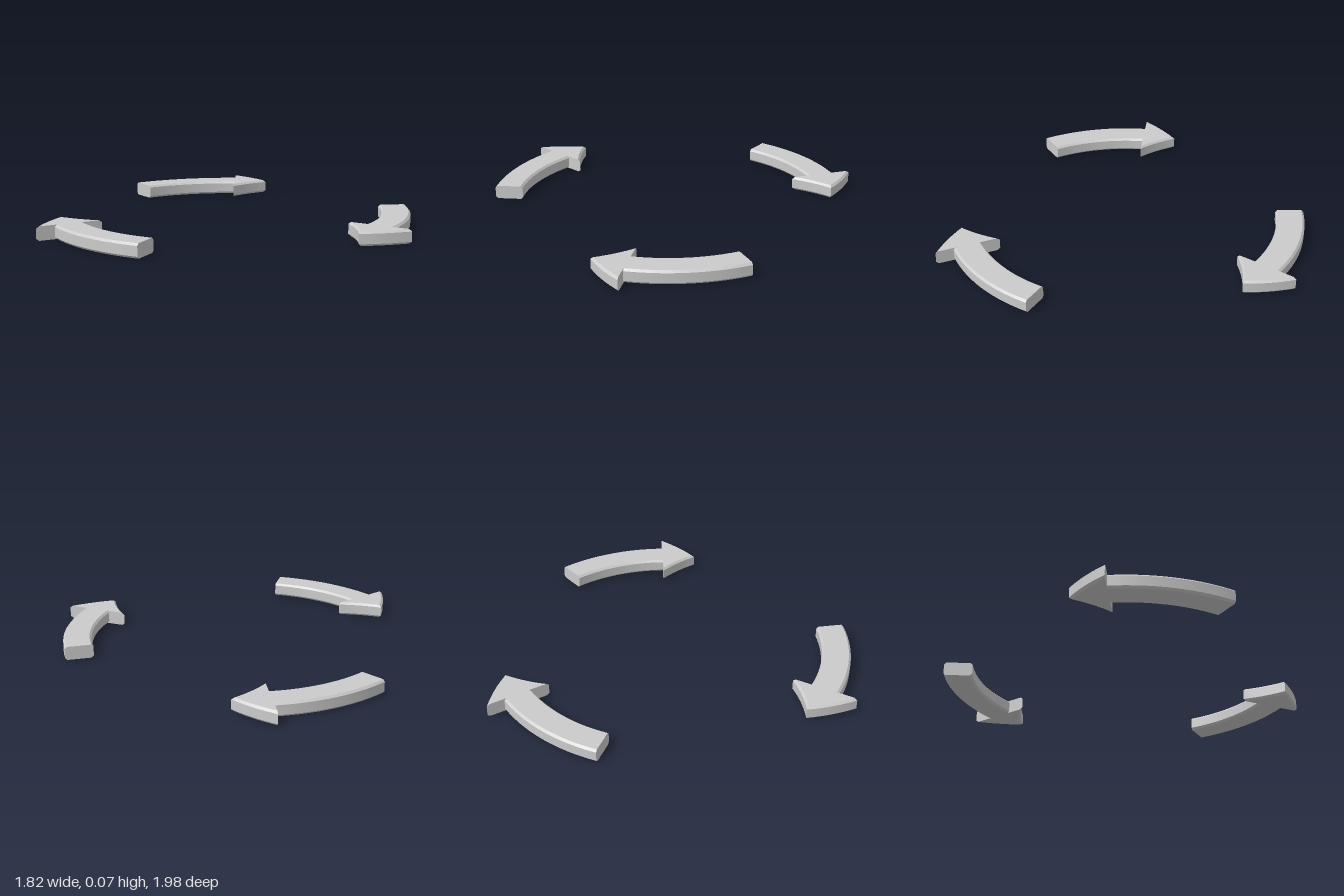
import * as THREE from 'three';
import { toCreasedNormals } from 'three/addons/utils/BufferGeometryUtils.js';

const DEG = Math.PI / 180;
const RADIUS = 0.8885;      // centre line of the ring of arrows
const HEIGHT = 0.073;
const BEVEL = 0.011;        // chamfer along the curved sides
const TAIL = -15.2, NECK = 21.9, TIP = 34.1; // angles in degrees

// Sweeps a chamfered section round the ring. station(t, inset) gives
// the angle and half width of the outline, or of the inset flat faces.
function sweep(steps, station) {
  const pos = [], index = [], n = 8;
  for (let j = 0; j <= steps; j++) {
    const side = station(j / steps, false), flat = station(j / steps, true);
    const ring = [
      [side, 1, BEVEL], [side, 1, HEIGHT - BEVEL],
      [flat, 1, HEIGHT], [flat, -1, HEIGHT],
      [side, -1, HEIGHT - BEVEL], [side, -1, BEVEL],
      [flat, -1, 0], [flat, 1, 0],
    ];
    for (const [[angle, half], sign, y] of ring) {
      const r = RADIUS + sign * half;
      pos.push(r * Math.cos(angle * DEG), y, r * Math.sin(angle * DEG));
    }
  }
  for (let j = 0; j < steps; j++) {
    for (let i = 0; i < n; i++) {
      const a = j * n + i, b = j * n + (i + 1) % n;
      index.push(a, b, b + n, a, b + n, a + n);
    }
  }
  // flat cap at the start
  for (let i = 1; i < n - 1; i++) index.push(0, i + 1, i);
  const geo = new THREE.BufferGeometry();
  geo.setAttribute('position', new THREE.Float32BufferAttribute(pos, 3));
  geo.setIndex(index);
  return toCreasedNormals(geo, 25 * DEG);
}

export function createModel() {
  const model = new THREE.Group();
  model.name = 'arrowRing';
  const material = new THREE.MeshStandardMaterial({ color: 0xcccccc });

  // curved shaft of constant width
  const shaftGeo = sweep(14, (t, inset) => [
    TAIL + t * (NECK - TAIL), 0.0755 - (inset ? BEVEL : 0),
  ]);

  // head narrowing to the tip, its flat faces set in along the slanted sides
  const headHalf = 0.1725;
  const headGeo = sweep(8, (t, inset) => {
    const half = headHalf - (inset ? BEVEL * 1.38 : 0);
    const length = (TIP - NECK) * half / headHalf;
    return [NECK + t * length, half * (1 - t)];
  });

  // three arrows spaced evenly round the ring
  for (let k = 0; k < 3; k++) {
    const arrow = new THREE.Group();
    arrow.name = 'arrow' + (k + 1);
    const shaft = new THREE.Mesh(shaftGeo, material);
    shaft.name = 'arrowShaft';
    const head = new THREE.Mesh(headGeo, material);
    head.name = 'arrowHead';
    arrow.add(shaft, head);
    arrow.rotation.y = k * 120 * DEG;
    arrow.position.set(-0.085, 0, 0.058);
    model.add(arrow);
  }
  return model;
}
